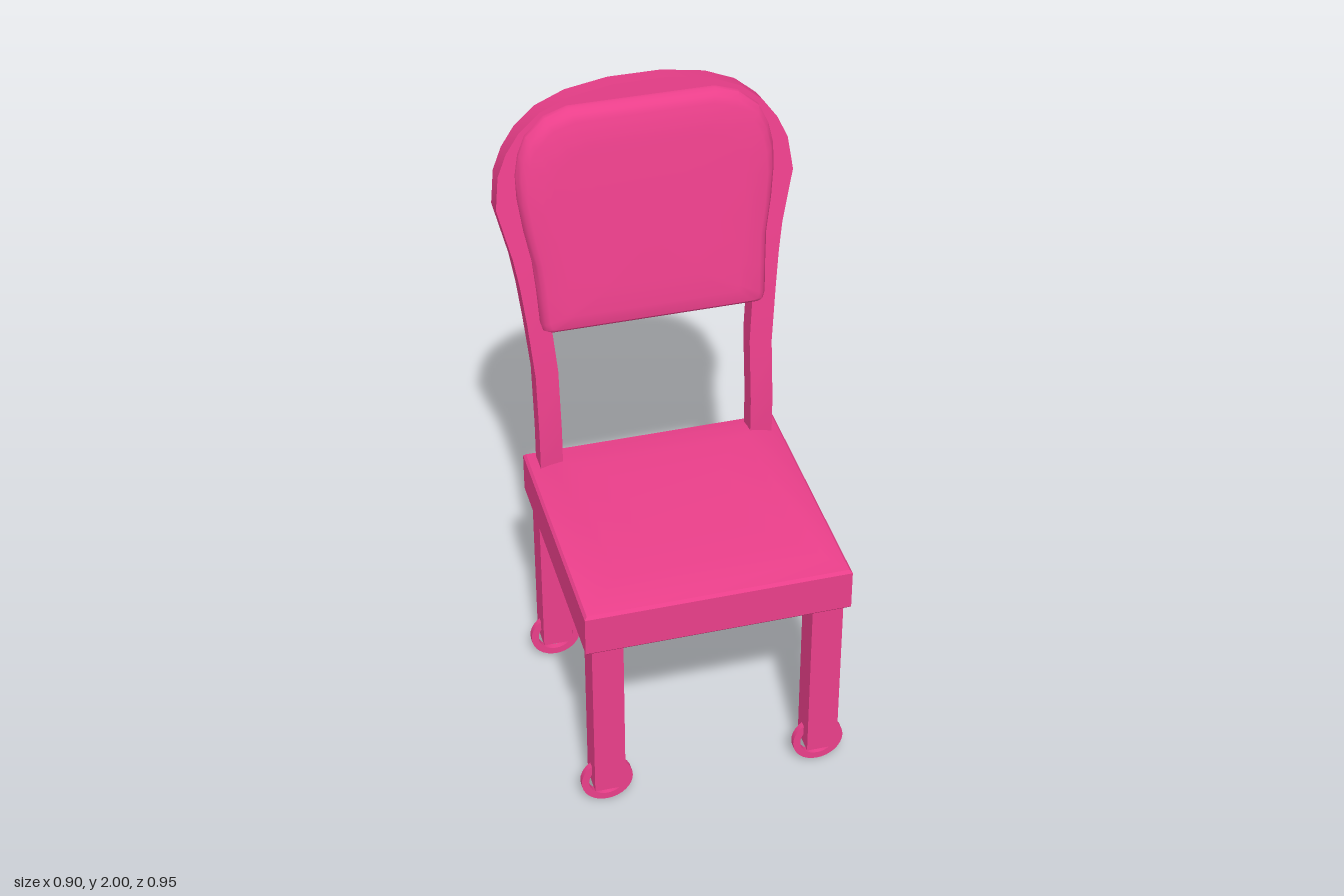
import * as THREE from 'three';
import { toCreasedNormals } from 'three/addons/utils/BufferGeometryUtils.js';

const material = new THREE.MeshStandardMaterial({ color: 0xea3f8a });

// Skin a series of equal-sized rings (counter-clockwise seen from the end) and cap both ends.
function loft(rings, crease = 0.6) {
  const n = rings[0].length, position = [], index = [];
  rings.forEach(r => r.forEach(p => position.push(...p)));
  for (let i = 0; i < rings.length - 1; i++) {
    for (let j = 0; j < n; j++) {
      const a = i * n + j, b = i * n + (j + 1) % n;
      index.push(a, b, b + n, a, b + n, a + n);
    }
  }
  [0, rings.length - 1].forEach((k, end) => {
    const c = position.length / 3;
    position.push(...[0, 1, 2].map(d => rings[k].reduce((s, p) => s + p[d], 0) / n));
    for (let j = 0; j < n; j++) {
      const a = k * n + j, b = k * n + (j + 1) % n;
      if (end) index.push(c, a, b); else index.push(c, b, a);
    }
  });
  const g = new THREE.BufferGeometry();
  g.setAttribute('position', new THREE.Float32BufferAttribute(position, 3));
  g.setIndex(index);
  return toCreasedNormals(g, crease);
}

function add(parent, name, geometry, x = 0, y = 0, z = 0) {
  const mesh = new THREE.Mesh(geometry, material);
  mesh.name = name;
  mesh.position.set(x, y, z);
  parent.add(mesh);
  return mesh;
}

// Front face of the backrest: z as a function of height.
const LEAN = [[0.92, -0.235], [1.3, -0.28], [1.4, -0.295], [1.67, -0.345], [2, -0.407]];
function lean(y) {
  if (y <= LEAN[0][0]) return LEAN[0][1];
  let i = 1;
  while (i < LEAN.length - 1 && y > LEAN[i][0]) i++;
  const [y0, z0] = LEAN[i - 1], [y1, z1] = LEAN[i];
  return z0 + (z1 - z0) * (y - y0) / (y1 - y0);
}

// Seat: domed top, apron around a hollow underside.
function seatGeometry() {
  const layers = [ // half width, height
    [0.305, 0.722], [0.305, 0.643], [0.399, 0.643], [0.404, 0.649], [0.404, 0.776],
    [0.396, 0.785], [0.34, 0.801], [0.27, 0.812], [0.15, 0.816],
  ];
  const g = loft(layers.map(([h, y]) => [[h, -h, y], [h, h, y], [-h, h, y], [-h, -h, y]]), 0.5);
  return g.rotateX(-Math.PI / 2);
}

// Bent frame: square section swept up one post, over the arch and down the other.
function frameGeometry() {
  const half = [ // outer x, outer y, inner x, inner y
    [0.37, 0.74, 0.3, 0.74], [0.37, 0.92, 0.3, 0.92], [0.37, 1.12, 0.3, 1.13],
    [0.385, 1.3, 0.314, 1.31], [0.398, 1.42, 0.327, 1.43], [0.412, 1.51, 0.342, 1.53],
    [0.45, 1.67, 0.374, 1.68], [0.437, 1.77, 0.366, 1.75], [0.408, 1.835, 0.345, 1.8],
    [0.365, 1.893, 0.312, 1.845], [0.3, 1.945, 0.262, 1.882], [0.21, 1.98, 0.19, 1.91],
    [0.08, 2, 0.075, 1.928],
  ];
  const stations = [...half, ...half.slice().reverse().map(([a, b, c, d]) => [-a, b, -c, d])];
  return loft(stations.map(([ox, oy, ix, iy]) => {
    const drop = oy > 1.25 ? 0.013 : 0;
    return [
      [ox, oy, lean(oy)], [ox, oy - drop, lean(oy) - 0.069],
      [ix, iy - drop, lean(iy) - 0.069], [ix, iy, lean(iy)],
    ];
  }), 0.65);
}

// Padded back panel, set into the frame opening and following its lean.
function panelGeometry() {
  const half = [
    [0.325, 1.279], [0.34, 1.284], [0.346, 1.305], [0.35, 1.4], [0.357, 1.5], [0.375, 1.6],
    [0.387, 1.7], [0.387, 1.77], [0.375, 1.83], [0.35, 1.885], [0.29, 1.935], [0.22, 1.956],
  ];
  const outline = [...half, ...half.slice().reverse().map(([x, y]) => [-x, y])];
  const layers = [ // scale, offset in front of the frame
    [0.5, -0.042], [0.97, -0.042], [0.985, -0.034], [0.985, -0.004], [1, -0.002], [1, 0.014],
    [0.985, 0.023], [0.97, 0.034], [0.93, 0.042], [0.75, 0.046], [0.4, 0.047],
  ];
  return loft(layers.map(([s, d]) => outline.map(([x, y]) => {
    const py = 1.5 + (y - 1.5) * s;
    return [x * s, py, lean(py) + d];
  })), 0.7);
}

// Thin upright ring used as a foot.
function ringGeometry() {
  const shape = new THREE.Shape().absarc(0, 0, 0.08, 0, Math.PI * 2);
  shape.holes.push(new THREE.Path().absarc(0, 0, 0.057, 0, Math.PI * 2, true));
  const g = new THREE.ExtrudeGeometry(shape, { depth: 0.02, bevelEnabled: false, curveSegments: 16 });
  return toCreasedNormals(g.translate(0, 0, -0.01), 0.6);
}

export function createModel() {
  const chair = new THREE.Group();
  chair.name = 'chair';
  add(chair, 'seat', seatGeometry(), 0, 0, 0.068);
  add(chair, 'backFrame', frameGeometry());
  add(chair, 'backPanel', panelGeometry());

  // Legs, each with a ring foot
  const legBox = new THREE.BoxGeometry(0.095, 0.65, 0.095);
  const ring = ringGeometry();
  for (const [end, z] of [['front', 0.414], ['back', -0.274]]) {
    for (const [side, sx] of [['Left', 1], ['Right', -1]]) {
      add(chair, `${end}${side}Leg`, legBox, sx * 0.336, 0.404, z);
      add(chair, `${end}${side}RingFoot`, ring, sx * 0.336, 0.081, z - 0.002);
    }
  }
  return chair;
}
